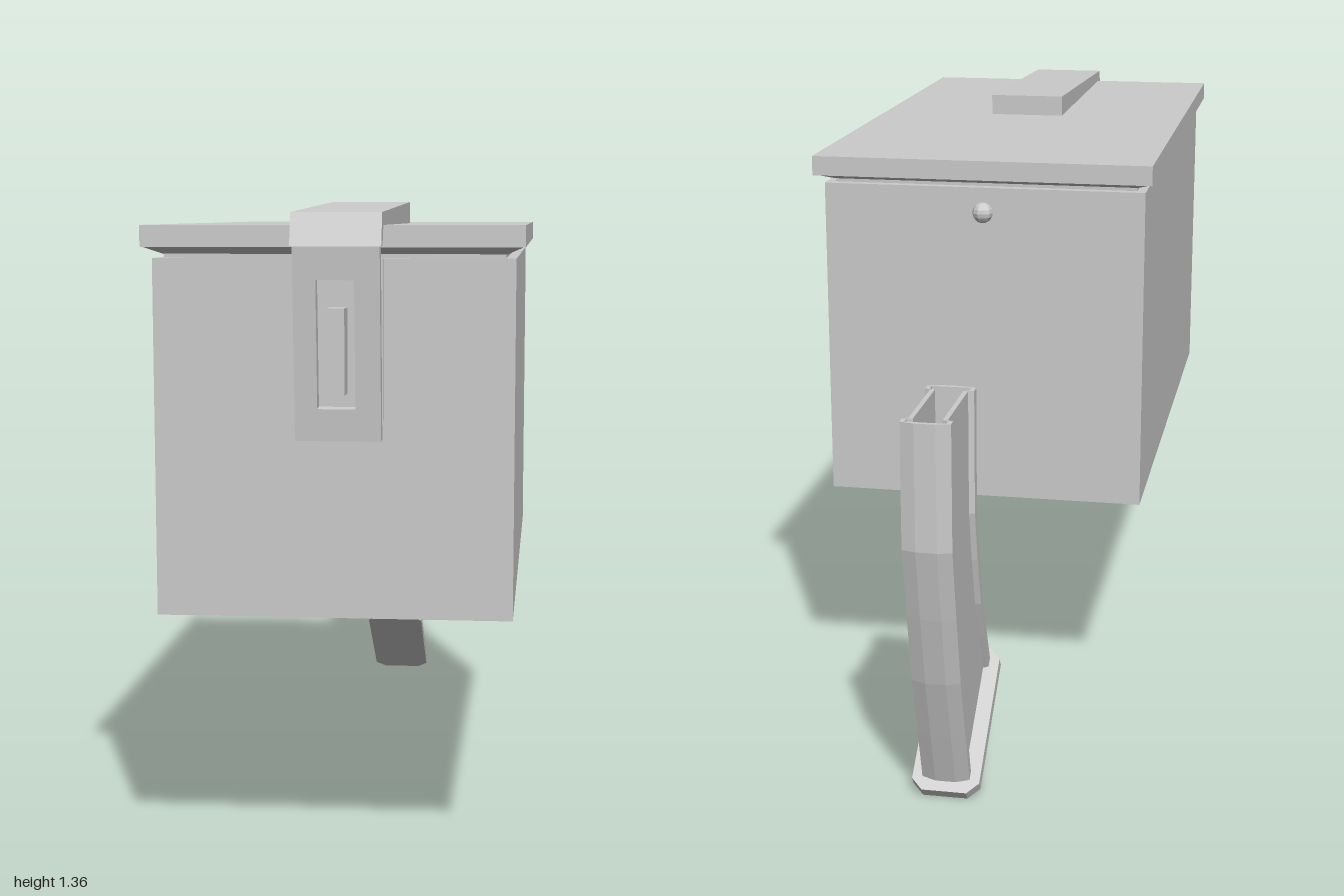
import * as THREE from 'three';

const material = new THREE.MeshStandardMaterial({ color: 0xcccccc, flatShading: true, side: THREE.DoubleSide });

function part(name, geometry, parent) {
  const mesh = new THREE.Mesh(geometry, material);
  mesh.name = name;
  parent.add(mesh);
  return mesh;
}

// Box given by its limits on each axis
function block(name, [x0, x1], [y0, y1], [z0, z1], parent) {
  const mesh = part(name, new THREE.BoxGeometry(x1 - x0, y1 - y0, z1 - z0), parent);
  mesh.position.set((x0 + x1) / 2, (y0 + y1) / 2, (z0 + z1) / 2);
  return mesh;
}

const toShape = (points) => new THREE.Shape(points.map(([x, y]) => new THREE.Vector2(x, y)));
const rectangle = (x0, x1, y0, y1) => [[x0, y0], [x1, y0], [x1, y1], [x0, y1]];
const extrude = (shape, depth) => new THREE.ExtrudeGeometry(shape, { depth, bevelEnabled: false });

function createCase() {
  const box = new THREE.Group();
  box.name = 'case';
  block('body', [-0.36, 0.36], [0.535, 1.255], [-0.39, 0.92], box);
  block('lid', [-0.378, 0.378], [1.277, 1.32], [-0.425, 0.95], box);
  block('lidNeck', [-0.34, 0.34], [1.25, 1.265], [-0.37, 0.9], box);

  // Tapered underside of the lid
  const taper = new THREE.BoxGeometry(0.75, 0.015, 1.36);
  const p = taper.attributes.position;
  for (let i = 0; i < p.count; i++) {
    if (p.getY(i) < 0) p.setXYZ(i, p.getX(i) * 0.91, p.getY(i), p.getZ(i) * 0.935);
  }
  taper.computeVertexNormals();
  part('lidUnderside', taper, box).position.set(0, 1.27, 0.2625);

  // Small knob on the back
  const stem = part('knobStem', new THREE.CylinderGeometry(0.014, 0.014, 0.02, 10), box);
  stem.rotation.x = Math.PI / 2;
  stem.position.set(0, 1.2, -0.395);
  part('knob', new THREE.SphereGeometry(0.023, 10, 8), box).position.set(0, 1.2, -0.395);
  return box;
}

function createLatch() {
  const latch = new THREE.Group();
  latch.name = 'latch';

  // Lever over the lid, its side profile extruded across x
  const profile = [[0.265, 1.315], [0.265, 1.368], [0.978, 1.345], [1, 1.28], [0.972, 1.28], [0.955, 1.315]];
  const lever = extrude(toShape(profile.map(([z, y]) => [-z, y])), 0.178);
  lever.rotateY(Math.PI / 2);
  part('latchLever', lever, latch).position.x = -0.075;

  // Leaning flap with a slot
  const flap = toShape(rectangle(-0.07, 0.1, -0.382, 0));
  flap.holes.push(toShape(rectangle(-0.025, 0.05, -0.318, -0.065)));
  const flapMesh = part('latchFlap', extrude(flap, 0.027), latch);
  flapMesh.position.set(0, 1.282, 0.973);
  flapMesh.rotation.x = 0.087;

  // Catch that passes through the slot, on its back plate
  block('latchPlate', [-0.07, 0.1], [0.9, 1.255], [0.915, 0.93], latch);
  block('latchCatch', [-0.005, 0.03], [0.99, 1.16], [0.925, 0.986], latch);
  return latch;
}

function createMagazine() {
  const magazine = new THREE.Group();
  magazine.name = 'magazine';

  // Back and front edges as [backZ, backY, frontZ, frontY], from bottom to top
  const stations = [
    [-0.842, 0.035, -0.59, 0.225],
    [-0.885, 0.17, -0.633, 0.318],
    [-0.928, 0.31, -0.672, 0.41],
    [-0.965, 0.47, -0.704, 0.52],
    [-0.998, 0.63, -0.73, 0.63],
    [-0.998, 0.9, -0.73, 0.9],
  ];

  // Ribbed hollow section, mirrored across x and lofted along the stations
  const ring = ([bz, by, fz, fy], inner) => {
    const length = Math.hypot(fz - bz, fy - by);
    const half = [
      [0.022, 0], [0.052, 0.008], [0.052, 0.028], [0.04, 0.032],
      [0.04, length - 0.034], [0.052, length - 0.03], [0.052, length - 0.008], [0.022, length],
    ];
    const loop = [...half, ...half.slice().reverse().map(([x, u]) => [-x, u])];
    return loop.map(([x, u]) => {
      const k = (inner ? THREE.MathUtils.clamp(u, 0.01, length - 0.01) : u) / length;
      const sx = inner ? x - Math.sign(x) * 0.01 : x;
      return [sx, by + (fy - by) * k, bz + (fz - bz) * k];
    });
  };
  const rings = [
    ...stations.map((s) => ring(s, false)),
    ...stations.slice().reverse().map((s) => ring(s, true)),
  ];
  const n = rings[0].length;
  const index = [];
  for (let i = 0; i < rings.length - 1; i++) {
    for (let j = 0; j < n; j++) {
      const a = i * n + j, b = i * n + (j + 1) % n;
      index.push(a, b + n, b, a, a + n, b + n);
    }
  }
  const shell = new THREE.BufferGeometry();
  shell.setAttribute('position', new THREE.Float32BufferAttribute(rings.flat(2), 3));
  shell.setIndex(index);
  shell.computeVertexNormals();
  part('magazineShell', shell, magazine);

  // Base plate with cut corners, tilted to close the lower end
  const w = 0.074, h = 0.177, c = 0.025;
  const outline = [
    [-w + c, -h], [w - c, -h], [w, -h + c], [w, h - c],
    [w - c, h], [-w + c, h], [-w, h - c], [-w, -h + c],
  ];
  const base = part('magazineBase', extrude(toShape(outline), 0.026), magazine);
  base.rotation.x = Math.atan2(0.285, 0.212);
  base.position.set(0, 0.133, -0.721);
  return magazine;
}

export function createModel() {
  const model = new THREE.Group();
  model.name = 'ammunitionBoxWithMagazine';
  model.add(createCase(), createLatch(), createMagazine());
  return model;
}
